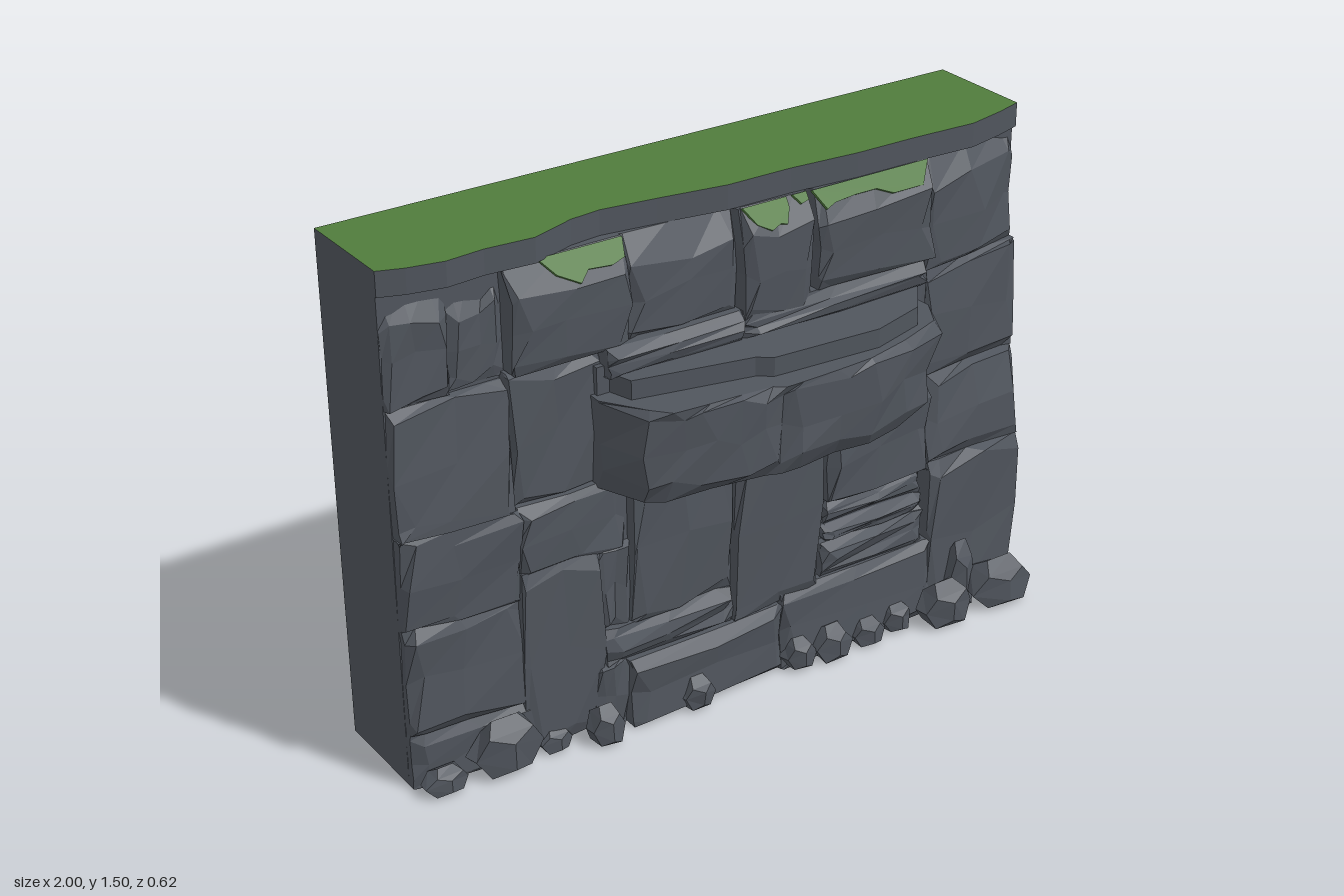
import * as THREE from 'three';

const stone = new THREE.MeshStandardMaterial({ color: 0x50555d });
stone.name = 'slate stone';
const grass = new THREE.MeshStandardMaterial({ color: 0x507c3c });
grass.name = 'grass green';

// Repeatable noise in -1..1 taken from a position
function noise(x, y, z, k) {
  const s = Math.sin(x * 127.1 + y * 311.7 + z * 74.7 + k * 53.3) * 43758.5453;
  return (s - Math.floor(s)) * 2 - 1;
}

// Split the faces so each one is shaded flat
function faceted(geo) {
  const g = geo.index ? geo.toNonIndexed() : geo;
  g.computeVertexNormals();
  return g;
}

function add(parent, name, geo, mat) {
  const mesh = new THREE.Mesh(geo, mat);
  mesh.name = name;
  parent.add(mesh);
  return mesh;
}

// Piecewise linear value through [position, value] points
function along(points, x) {
  for (let i = 1; i < points.length; i++) {
    const [x0, a] = points[i - 1], [x1, b] = points[i];
    if (x <= x1) return a + (b - a) * Math.max(0, (x - x0) / (x1 - x0));
  }
  return points[points.length - 1][1];
}

// Rough hewn block: narrow worn edges around an uneven front face
function block([x0, x1, y0, y1, front], { rough = 0.011, chamfer = 0.02, top = 0.025, drop = 0.022, segs = 4 } = {}) {
  const w = x1 - x0, h = y1 - y0, back = -0.05;
  const geo = new THREE.BoxGeometry(1, 1, 1, segs, 4, 1);
  const p = geo.attributes.position;
  const edge = Math.min(chamfer, w * 0.2, h * 0.2);
  const topEdge = Math.min(top, h * 0.3);
  for (let i = 0; i < p.count; i++) {
    const u = Math.round((p.getX(i) + 0.5) * segs), v = Math.round((p.getY(i) + 0.5) * 4);
    const uEnd = u === 0 || u === segs, vEnd = v === 0 || v === 4;
    let x = u === 0 ? x0 : u === segs ? x1 : x0 + edge + (w - 2 * edge) * (u - 1) / (segs - 2);
    let y = v === 0 ? y0 : v === 4 ? y1 : y0 + edge + (h - edge - topEdge) * (v - 1) / 2;
    let z = back;
    if (p.getZ(i) > 0) {
      z = typeof front === 'function' ? front(x, y) : front;
      if (v === 4) z -= drop;
      else if (uEnd || v === 0) z -= 0.016;
      z += noise(x, y, 1, 1) * rough;
      if (!uEnd) x += noise(x, y, 1, 2) * Math.min(0.03, w * 0.09);
      else x += noise(x, y, 1, 4) * 0.006;
      if (!vEnd) y += noise(x, y, 1, 3) * Math.min(0.03, h * 0.07);
    }
    p.setXYZ(i, THREE.MathUtils.clamp(x, -1, 1), Math.max(0, y), z);
  }
  return faceted(geo);
}

// Horizontal slab from a plan outline of [x, z] points
function slab(points, y0, y1) {
  const shape = new THREE.Shape(points.map(([x, z]) => new THREE.Vector2(x, -z)));
  const geo = new THREE.ExtrudeGeometry(shape, { depth: y1 - y0, bevelEnabled: false });
  return geo.rotateX(-Math.PI / 2).translate(0, y0, 0);
}

export function createModel() {
  const model = new THREE.Group();
  model.name = 'stoneWall';

  // Solid core, with a shallow filler behind the middle stones
  add(model, 'wallCore', new THREE.BoxGeometry(2, 1.43, 0.31).translate(0, 0.715, -0.155), stone);
  add(model, 'middleFiller', new THREE.BoxGeometry(1.08, 1.1, 0.11).translate(0.12, 0.55, 0.005), stone);

  // Masonry: x0, x1, y0, y1, front z
  const masonry = new THREE.Group();
  masonry.name = 'masonry';
  model.add(masonry);
  const rightInner = [[0, 0.115], [0.55, 0.115], [0.76, 0.08], [1.1, 0.065]];
  const rightOuter = [[0, 0.11], [0.4, 0.1], [0.57, 0.11], [0.75, 0.06], [1.1, 0.05]];
  const rightFront = (x, y) => along([[0.66, along(rightInner, y)], [1, along(rightOuter, y)]], x);
  const leftFront = (x, y) => along([[0, 0.045], [0.35, 0.04], [0.75, 0.055], [0.8, 0.04], [1.12, 0.015]], y) + (x + 1) * 0.07;
  [
    [-1, -0.67, 0.76, 1.12, leftFront], [-1, -0.67, 0.49, 0.76, leftFront],
    [-1, -0.67, 0.17, 0.49, leftFront], [-1, -0.64, 0, 0.17, leftFront],
    [-0.67, -0.4, 0.76, 1.14, 0.045], [-0.67, -0.34, 0.55, 0.76, 0.07],
    [-0.67, -0.43, 0.02, 0.57, 0.085], [-0.46, -0.35, 0, 0.22, 0.095],
    [-0.44, -0.33, 0.31, 0.57, 0.08],
    [-0.34, -0.02, 0.32, 0.75, 0.1], [-0.02, 0.27, 0.22, 0.75, 0.12],
    [0.31, 0.66, 0.48, 0.75, 0.11], [0.31, 0.65, 0.4, 0.48, 0.085],
    [0.31, 0.65, 0.35, 0.4, 0.1], [0.29, 0.65, 0.25, 0.35, 0.11],
    [-0.43, -0.02, 0.21, 0.32, 0.105],
    [-0.36, 0.14, 0, 0.21, 0.125], [0.14, 0.68, 0, 0.25, 0.125],
    [0.6, 0.67, 0.75, 1.14, 0.06],
    [0.66, 1, 0.77, 1.1, rightFront], [0.66, 1, 0.5, 0.77, rightFront], [0.67, 1, 0, 0.5, rightFront],
    [-0.4, 0.02, 1.07, 1.15, 0.1], [0.02, 0.62, 1.07, 1.15, 0.11],
  ].forEach((b) => add(masonry, 'stoneBlock', block(b), stone));

  // Top course, sloping back under the cap
  const cornerFront = (x) => along([[0.65, 0.085], [0.85, 0.07], [1, 0.02]], x);
  [
    [-1, -0.82, 1.12, 1.43, leftFront], [-0.82, -0.66, 1.13, 1.41, 0.02],
    [-0.66, -0.32, 1.14, 1.43, 0.075], [-0.32, 0.02, 1.15, 1.43, 0.065],
    [0.02, 0.24, 1.12, 1.43, 0.105], [0.26, 0.64, 1.15, 1.43, 0.11],
    [0.65, 1, 1.1, 1.43, cornerFront],
  ].forEach((b) => add(masonry, 'topCourseBlock', block(b, { rough: 0.006, top: 0.08, drop: 0.05 }), stone));

  // Projecting ledge of two long stones with a thinner course above
  const ledge = new THREE.Group();
  ledge.name = 'ledge';
  model.add(ledge);
  const bow = [[-0.43, 0.1], [-0.37, 0.245], [0, 0.3], [0.33, 0.3], [0.56, 0.24], [0.62, 0.12]];
  const bowFront = (x, y) => along(bow, x) - (y < 0.77 ? 0.02 : 0);
  [[-0.43, 0.01], [0.01, 0.62]].forEach(([a, b]) =>
    add(ledge, 'ledgeStone', block([a, b, 0.75, 1.02, bowFront], { rough: 0.009, chamfer: 0.05, drop: 0.01, segs: 6 }), stone));
  add(ledge, 'ledgeStep', faceted(slab([[-0.4, 0], [-0.36, 0.13], [-0.02, 0.2], [0.02, 0.23], [0.35, 0.25],
    [0.52, 0.2], [0.6, 0.1], [0.6, 0]].reverse(), 1.0, 1.075)), stone);

  // Cap with a wavy front edge and grass on top
  const capEdge = [[-1, 0.005], [-0.93, 0.03], [-0.83, 0.05], [-0.72, 0.04], [-0.58, 0.05], [-0.45, 0.005], [-0.36, -0.005],
    [-0.2, 0.015], [0, 0.045], [0.2, 0.045], [0.41, 0.06], [0.6, 0.06], [0.8, 0.068], [0.92, 0.04], [1, 0.015]];
  const outline = [[-1, -0.31], ...capEdge, [1, -0.31]];
  add(model, 'capStone', faceted(slab(outline, 1.43, 1.496)), stone);
  add(model, 'grassTop', faceted(slab(outline, 1.496, 1.5)), [grass, stone]);

  // Grass tufts lying on the sloping tops of the upper blocks
  [
    [0.075, [[-0.57, 0], [-0.53, -0.045], [-0.47, -0.075], [-0.44, -0.05], [-0.37, -0.055], [-0.33, -0.045], [-0.32, 0]]],
    [0.105, [[0.03, 0], [0.06, -0.045], [0.1, -0.065], [0.13, -0.055], [0.15, -0.06], [0.17, -0.025], [0.17, 0]]],
    [0.105, [[0.19, 0], [0.21, -0.025], [0.235, -0.02], [0.235, 0]]],
    [0.11, [[0.25, 0], [0.28, -0.05], [0.31, -0.04], [0.38, -0.035], [0.45, -0.035], [0.5, -0.055], [0.6, -0.055], [0.64, 0]]],
  ].forEach(([z, pts]) => {
    const shape = new THREE.Shape(pts.map(([x, y]) => new THREE.Vector2(x, y * 1.18)));
    const tuft = add(model, 'grassTuft', new THREE.ExtrudeGeometry(shape, { depth: 0.009, bevelEnabled: false }), grass);
    tuft.rotation.x = -Math.atan2(0.05, 0.08);
    tuft.position.set(0, 1.43, z - 0.046);
  });

  // Rubble at the foot: x, z, half width, height, half depth
  const rubble = new THREE.Group();
  rubble.name = 'rubble';
  model.add(rubble);
  [
    [-0.93, 0.075, 0.065, 0.08, 0.04], [-0.75, 0.085, 0.105, 0.17, 0.055], [-0.59, 0.075, 0.05, 0.07, 0.035],
    [-0.46, 0.125, 0.05, 0.12, 0.045], [-0.16, 0.125, 0.05, 0.1, 0.045], [0.19, 0.125, 0.05, 0.1, 0.045],
    [0.3, 0.135, 0.06, 0.11, 0.05], [0.43, 0.13, 0.055, 0.08, 0.045], [0.54, 0.125, 0.05, 0.09, 0.04],
    [0.68, 0.175, 0.085, 0.14, 0.06], [0.78, 0.125, 0.05, 0.22, 0.04], [0.89, 0.175, 0.11, 0.15, 0.065],
  ].forEach(([x, z, r, h, d], n) => {
    const geo = new THREE.DodecahedronGeometry(1, 0);
    const p = geo.attributes.position;
    for (let i = 0; i < p.count; i++) {
      const [a, b, c] = [p.getX(i), p.getY(i), p.getZ(i)].map((v) => Math.round(v * 100) / 100);
      const s = 1.06 + noise(a, b, c, n) * 0.12;
      p.setXYZ(i, Math.min(1, x + a * s * r), THREE.MathUtils.clamp(h * (0.42 + b * s * 0.6), 0, h), z + c * s * d);
    }
    add(rubble, 'rubbleStone', faceted(geo), stone);
  });

  return model;
}
